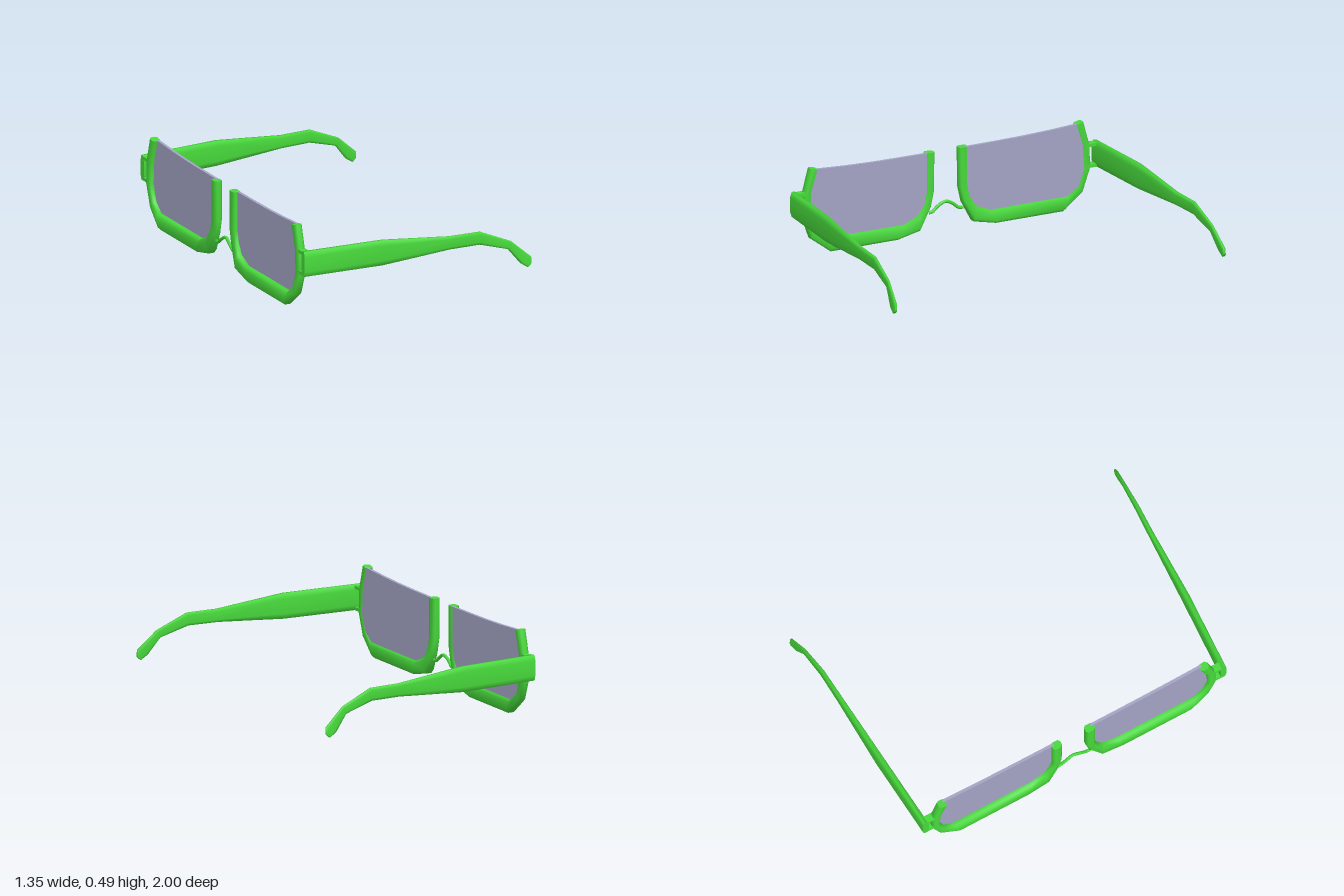
import * as THREE from 'three';

const green = new THREE.MeshStandardMaterial({ color: 0x47d83b });
green.name = 'green frame';
const grey = new THREE.MeshStandardMaterial({ color: 0xa3a3c4, side: THREE.DoubleSide });
grey.name = 'lilac grey lens';

const V = (x, y, z) => new THREE.Vector3(x, y, z);

// Chamfered section: u runs between the two edge points, w is the thickness direction
const SECTION = [[1, -0.5], [1, 0.5], [0.6, 1], [-0.6, 1], [-1, 0.5], [-1, -0.5], [-0.6, -1], [0.6, -1]];
function section(p, q, w) {
  const c = p.clone().add(q).multiplyScalar(0.5);
  const u = p.clone().sub(q).multiplyScalar(0.5);
  return SECTION.map(([a, b]) => c.clone().addScaledVector(u, a).addScaledVector(w, b));
}

// Smooth skin through the sections, with flat end caps; side = -1 mirrors across z
function loft(rings, side) {
  const n = rings[0].length, pos = [], idx = [];
  const add = (r) => r.forEach((p) => pos.push(p.x, p.y, p.z * side));
  rings.forEach(add);
  for (let i = 0; i < rings.length - 1; i++) {
    for (let j = 0; j < n; j++) {
      const a = i * n + j, b = i * n + (j + 1) % n;
      idx.push(a, b, a + n, b, b + n, a + n);
    }
  }
  const start = rings.length * n;
  add(rings[0]);
  add(rings[rings.length - 1]);
  for (let j = 1; j < n - 1; j++) {
    idx.push(start, start + j + 1, start + j, start + n, start + n + j, start + n + j + 1);
  }
  // Turn the faces outward if the enclosed volume is negative
  const at = (i) => V(pos[i * 3], pos[i * 3 + 1], pos[i * 3 + 2]);
  let volume = 0;
  for (let i = 0; i < idx.length; i += 3) volume += at(idx[i]).dot(at(idx[i + 1]).cross(at(idx[i + 2])));
  if (volume < 0) idx.reverse();
  const g = new THREE.BufferGeometry();
  g.setAttribute('position', new THREE.Float32BufferAttribute(pos, 3));
  g.setIndex(idx);
  g.computeVertexNormals();
  return g;
}

// Rim path: outer z, outer y, inner z, inner y
const RIM = [
  [0.823, 0.485, 0.775, 0.475], [0.86, 0.35, 0.812, 0.355], [0.866, 0.22, 0.82, 0.22],
  [0.82, 0.09, 0.787, 0.13], [0.70, 0.0, 0.73, 0.083], [0.295, 0.0, 0.26, 0.083],
  [0.16, 0.03, 0.175, 0.12], [0.095, 0.15, 0.143, 0.18], [0.075, 0.24, 0.128, 0.24],
  [0.073, 0.459, 0.128, 0.459],
];

// Temple path: top x, top y, bottom x, bottom y, centre z, half thickness
const TEMPLE = [
  [-0.662, 0.36, -0.662, 0.22, 0.908, 0.018], [-0.2, 0.36, -0.2, 0.221, 0.937, 0.018],
  [0.2, 0.321, 0.2, 0.25, 0.952, 0.013], [0.38, 0.321, 0.375, 0.251, 0.961, 0.011],
  [0.56, 0.244, 0.54, 0.203, 0.974, 0.009], [0.672, 0.145, 0.61, 0.115, 0.988, 0.01],
  [0.672, 0.108, 0.65, 0.089, 0.991, 0.008],
];

export function createModel() {
  const model = new THREE.Group();
  model.name = 'glasses';
  const put = (geometry, material, name) => {
    const m = new THREE.Mesh(geometry, material);
    m.name = name;
    model.add(m);
    return m;
  };

  for (const side of [1, -1]) {
    const tag = side > 0 ? 'left' : 'right';

    // Half rim, open at the top and thicker along the bottom
    const rim = RIM.map(([oz, oy, iz, iy]) =>
      section(V(-0.643, oy, oz), V(-0.643, iy, iz), V(oy < 0.05 ? 0.033 : 0.0225, 0, 0)));
    put(loft(rim, side), green, tag + 'Rim');

    // Lens seated in the middle of the rim
    const pts = RIM.map(([oz, oy, iz, iy]) => new THREE.Vector2(side * (oz * 0.3 + iz * 0.7), oy * 0.3 + iy * 0.7));
    [[0.3, 0.46], [0.45, 0.462], [0.62, 0.468]].forEach(([z, y]) => pts.push(new THREE.Vector2(side * z, y)));
    const lens = new THREE.ExtrudeGeometry(new THREE.Shape(pts), { depth: 0.016, bevelEnabled: false });
    lens.rotateY(-Math.PI / 2);
    put(lens, grey, tag + 'Lens').position.x = -0.624;

    // Temple arm with its drooping tip
    const arm = TEMPLE.map(([tx, ty, bx, by, z, t]) => section(V(tx, ty, z), V(bx, by, z), V(0, 0, t)));
    put(loft(arm, side), green, tag + 'Temple');

    // Two hinge prongs joining rim and temple
    for (const [y, end] of [[0.347, 'Upper'], [0.23, 'Lower']]) {
      put(new THREE.BoxGeometry(0.042, 0.018, 0.07), green, tag + end + 'Hinge')
        .position.set(-0.641, y, side * 0.875);
    }
  }

  // Arched nose bridge
  const bridge = new THREE.CatmullRomCurve3([
    V(-0.643, 0.115, 0.105), V(-0.643, 0.118, 0.08), V(-0.645, 0.145, 0.045), V(-0.642, 0.165, 0),
    V(-0.645, 0.145, -0.045), V(-0.643, 0.118, -0.08), V(-0.643, 0.115, -0.105),
  ]);
  put(new THREE.TubeGeometry(bridge, 24, 0.009, 8), green, 'bridge');

  return model;
}
